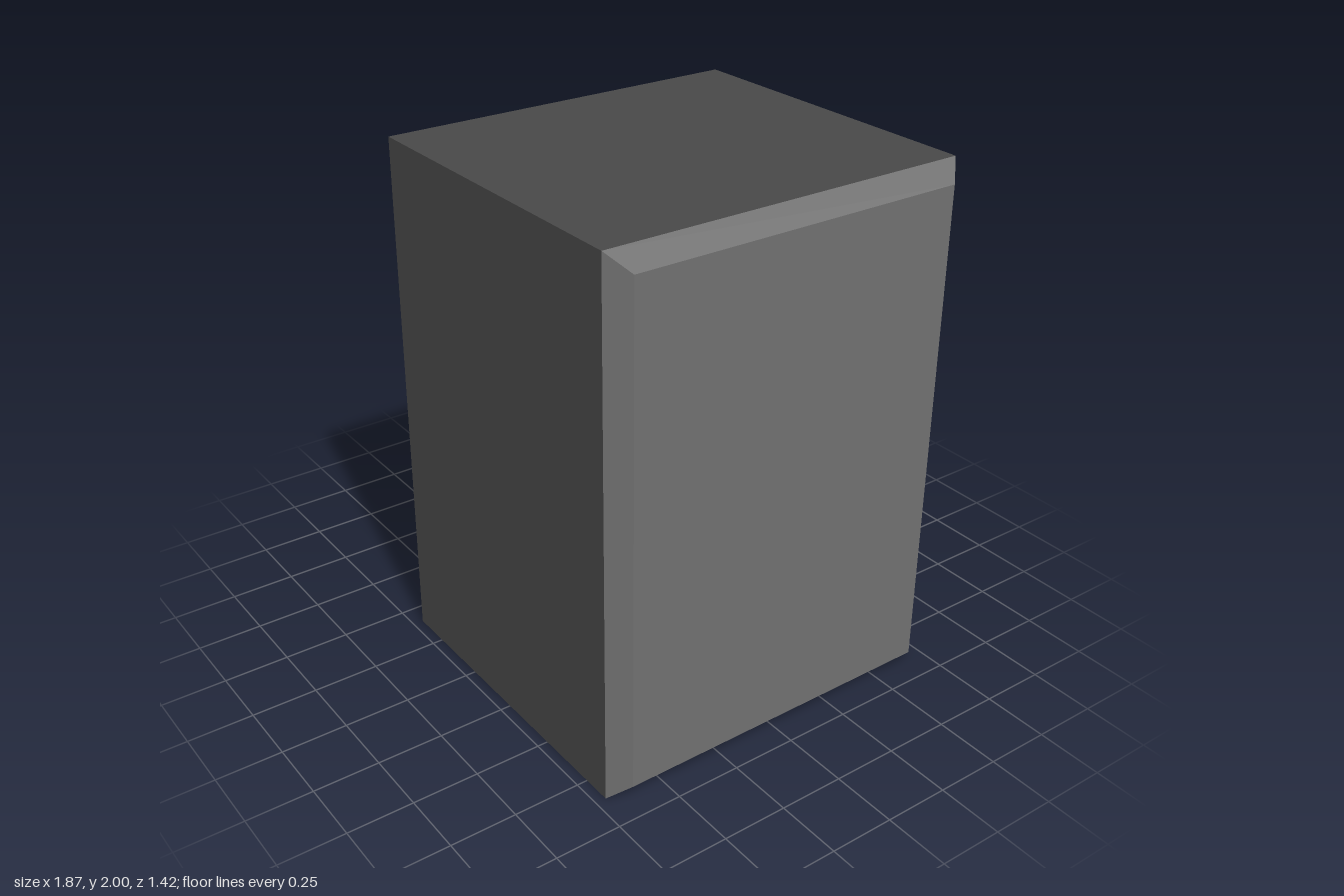
import * as THREE from 'three';

const dark = new THREE.MeshStandardMaterial({ color: 0x484848, flatShading: true });
const light = new THREE.MeshStandardMaterial({ color: 0x707070, flatShading: true });

// Box given by its minimum and maximum corners
function block(name, min, max, material) {
  const size = max.map((v, i) => v - min[i]);
  const mesh = new THREE.Mesh(new THREE.BoxGeometry(...size), material);
  mesh.position.set(...max.map((v, i) => (v + min[i]) / 2));
  mesh.name = name;
  return mesh;
}

export function createModel() {
  const group = new THREE.Group();
  group.name = 'boxWithMount';

  // Main housing
  group.add(block('housing', [-0.405, 0, -0.71], [0.862, 2, 0.71], dark));

  // Face panel: the outer rim is drawn in to form the bevel
  const panel = block('facePanel', [0.862, 0, -0.71], [0.93, 2, 0.71], light);
  const inset = 0.066;
  const pos = panel.geometry.attributes.position;
  for (let i = 0; i < pos.count; i++) {
    if (pos.getX(i) < 0) continue;
    pos.setY(i, pos.getY(i) - Math.sign(pos.getY(i)) * inset);
    pos.setZ(i, pos.getZ(i) - Math.sign(pos.getZ(i)) * inset);
  }
  panel.geometry.computeVertexNormals();
  group.add(panel);

  // Mounting arm on the opposite side
  group.add(block('mountArm', [-0.935, 0.4, -0.14], [-0.405, 0.8, 0.14], dark));

  return group;
}
